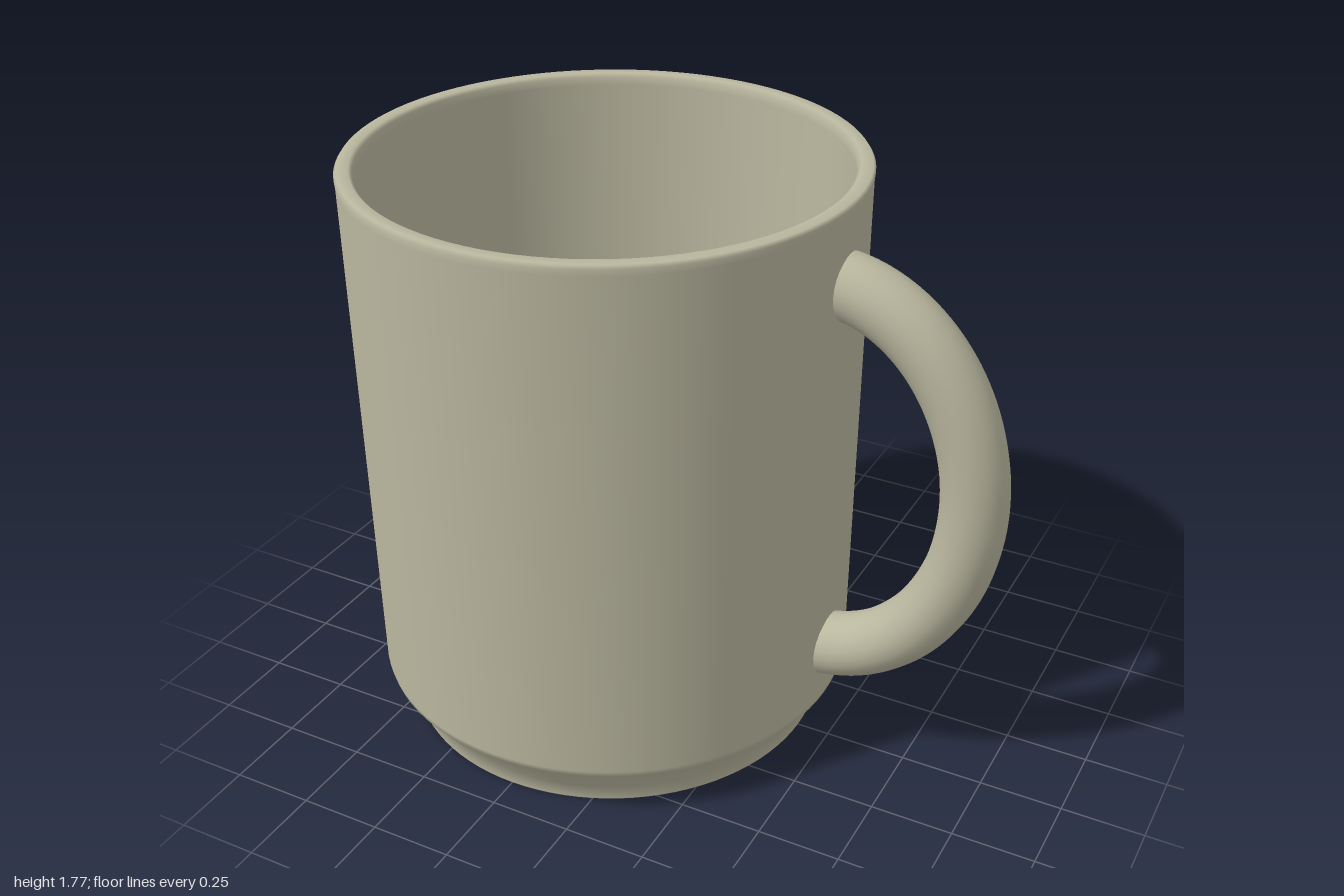
import * as THREE from 'three';

const AXIS_X = -0.25; // the cup axis sits left of centre to balance the handle

export function createModel() {
  const model = new THREE.Group();
  model.name = 'mug';

  const ceramic = new THREE.MeshStandardMaterial({ color: 0xbab79f });
  ceramic.name = 'ceramic';
  const black = new THREE.MeshStandardMaterial({ color: 0x1a1a1a, side: THREE.DoubleSide });
  black.name = 'black print';

  const add = (name, geometry, material, x = 0, y = 0) => {
    const mesh = new THREE.Mesh(geometry, material);
    mesh.name = name;
    mesh.position.set(x, y, 0);
    model.add(mesh);
    return mesh;
  };

  // Cup: one closed profile from the foot, over the rim, to the inner floor
  const profile = [
    [0, 0], [0.648, 0], [0.65, 0.004], [0.653, 0.05], [0.73, 0.155], [0.735, 0.175],
    [0.749, 1.745], [0.751, 1.765], [0.744, 1.775], [0.71, 1.775], [0.701, 1.765],
    [0.699, 1.74], [0.675, 0.16], [0.655, 0.08], [0, 0.08],
  ].map(([r, y]) => new THREE.Vector2(r, y));
  add('cup', new THREE.LatheGeometry(profile, 96), ceramic, AXIS_X);

  // Handle: round tube along half an ellipse, ends passing through the wall
  const path = [];
  for (let i = 0; i <= 32; i++) {
    const a = Math.PI * (0.5 - i / 32);
    path.push(new THREE.Vector3(0.43 + 0.47 * Math.cos(a), 0.942 + 0.597 * Math.sin(a), 0));
  }
  add('handle', new THREE.TubeGeometry(new THREE.CatmullRomCurve3(path), 64, 0.097, 24), ceramic);

  // Flat caps on the handle ends
  for (const [name, end] of [['upperHandleEnd', path[0]], ['lowerHandleEnd', path[32]]]) {
    add(name, new THREE.CircleGeometry(0.097, 24), ceramic, end.x, end.y).rotation.y = -Math.PI / 2;
  }

  // Printed panel on the back: thin curved sheets, angles in radians from -z towards +x
  const sheet = (name, from, to, bottom, top) => add(
    name,
    new THREE.CylinderGeometry(0.755, 0.755, top - bottom, Math.max(2, Math.ceil((to - from) * 30)),
      1, true, Math.PI - to, to - from),
    black, AXIS_X, (top + bottom) / 2);
  sheet('printLeft', 0.178, 0.75, 0.18, 1.62);
  sheet('printRight', -0.75, 0.035, 0.18, 1.62);

  // Thin bars in the gap between the two sheets
  [[0.128, 0.152, 1.48], [0.085, 0.108, 1.54], [0.05, 0.068, 1.4]].forEach(([from, to, top], i) =>
    sheet('printBar' + (i + 1), from, to, 0.18, top));

  return model;
}
